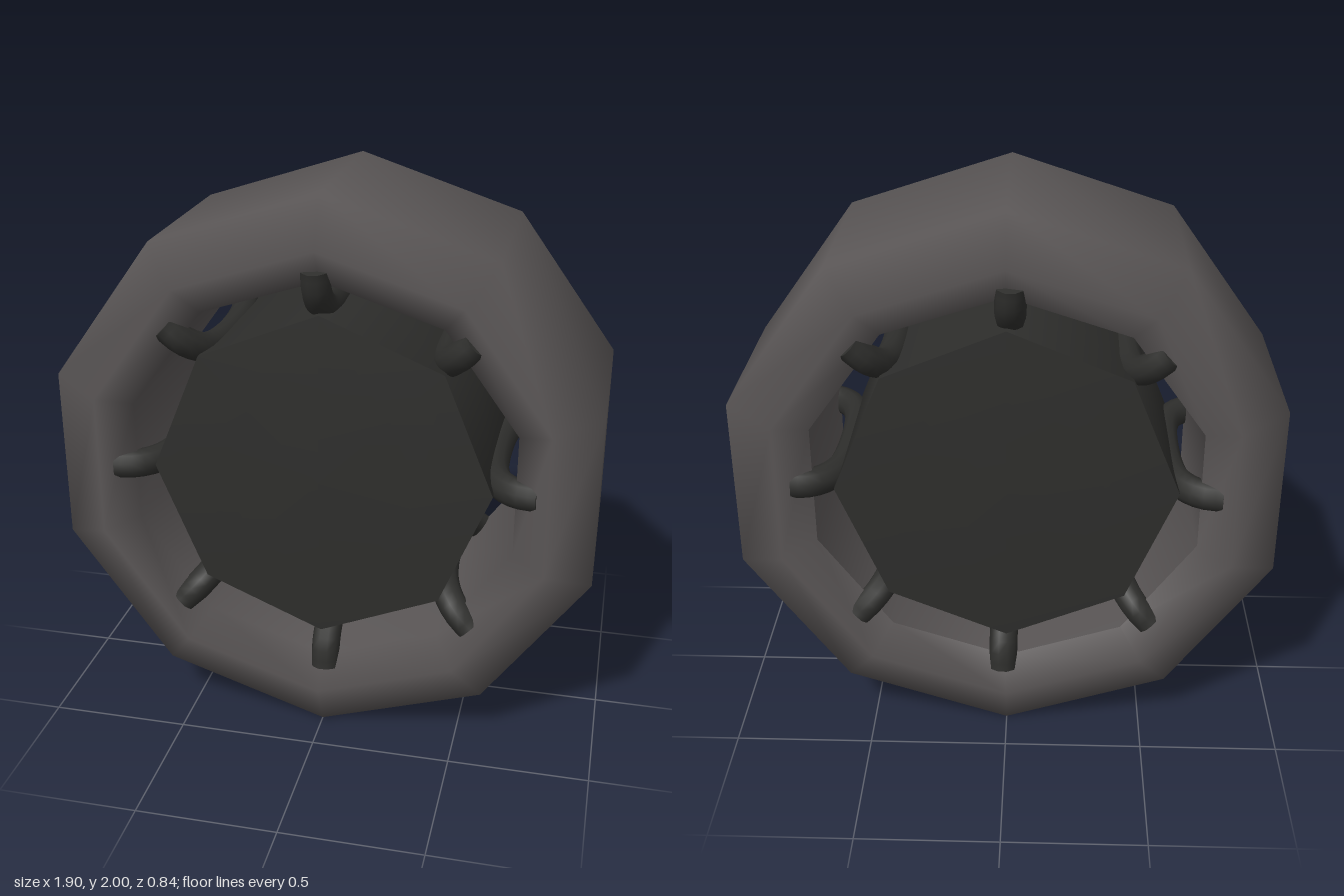
import * as THREE from 'three';

const v2 = (pts) => pts.map(([r, z]) => new THREE.Vector2(r, z));

// Revolve a [radius, z] profile around the wheel axle (z)
function turned(name, pts, sides, material) {
  const geometry = new THREE.LatheGeometry(v2(pts), sides);
  geometry.rotateX(Math.PI / 2);
  const mesh = new THREE.Mesh(geometry, material);
  mesh.name = name;
  return mesh;
}

export function createModel() {
  const wheel = new THREE.Group();
  wheel.name = 'wheel';
  const rubber = new THREE.MeshStandardMaterial({ color: 0x5a5656, side: THREE.DoubleSide });
  const metal = new THREE.MeshStandardMaterial({ color: 0x2e2e2c, side: THREE.DoubleSide });

  // Ten-sided tyre with bevelled shoulders; rotateX maps profile height to z
  wheel.add(turned('tyre', [
    [0.71, -0.34], [0.83, -0.42], [1, -0.34], [1, 0.34],
    [0.83, 0.42], [0.71, 0.34], [0.71, -0.34],
  ], 10, rubber));

  // Eight-sided hub drum with slightly domed faces
  const hub = new THREE.Group();
  hub.name = 'hub';
  hub.add(turned('hubDrum', [[0.6, -0.36], [0.6, 0.36]], 8, metal));
  hub.add(turned('hubFrontFace', [[0.6, 0.36], [0.35, 0.375], [0, 0.38]], 8, metal));
  hub.add(turned('hubBackFace', [[0, -0.38], [0.35, -0.375], [0.6, -0.36]], 8, metal));
  wheel.add(hub);

  // Bars along the hub corners, both ends bent outward to the tyre
  const half = [[0.755, 0.35], [0.68, 0.335], [0.62, 0.28], [0.585, 0.18]];
  const path = [...half, ...half.map(([r, z]) => [r, -z]).reverse()];
  const curve = new THREE.CatmullRomCurve3(path.map(([r, z]) => new THREE.Vector3(0, r, z)));
  const barGeometry = new THREE.TubeGeometry(curve, 28, 0.052, 10);
  const capGeometry = new THREE.CircleGeometry(0.052, 10);
  for (let i = 0; i < 8; i++) {
    const spoke = new THREE.Group();
    spoke.name = 'spoke' + (i + 1);
    const bar = new THREE.Mesh(barGeometry, metal);
    bar.name = 'spokeBar';
    spoke.add(bar);
    for (const t of [0, 1]) {
      const cap = new THREE.Mesh(capGeometry, metal);
      cap.name = 'spokeEnd';
      const out = curve.getTangentAt(t).multiplyScalar(t ? 1 : -1);
      cap.quaternion.setFromUnitVectors(new THREE.Vector3(0, 0, 1), out);
      cap.position.copy(curve.getPointAt(t));
      spoke.add(cap);
    }
    spoke.rotation.z = (i * Math.PI) / 4 + 0.018;
    wheel.add(spoke);
  }

  wheel.position.y = 1;
  const model = new THREE.Group();
  model.name = 'model';
  model.add(wheel);
  return model;
}
